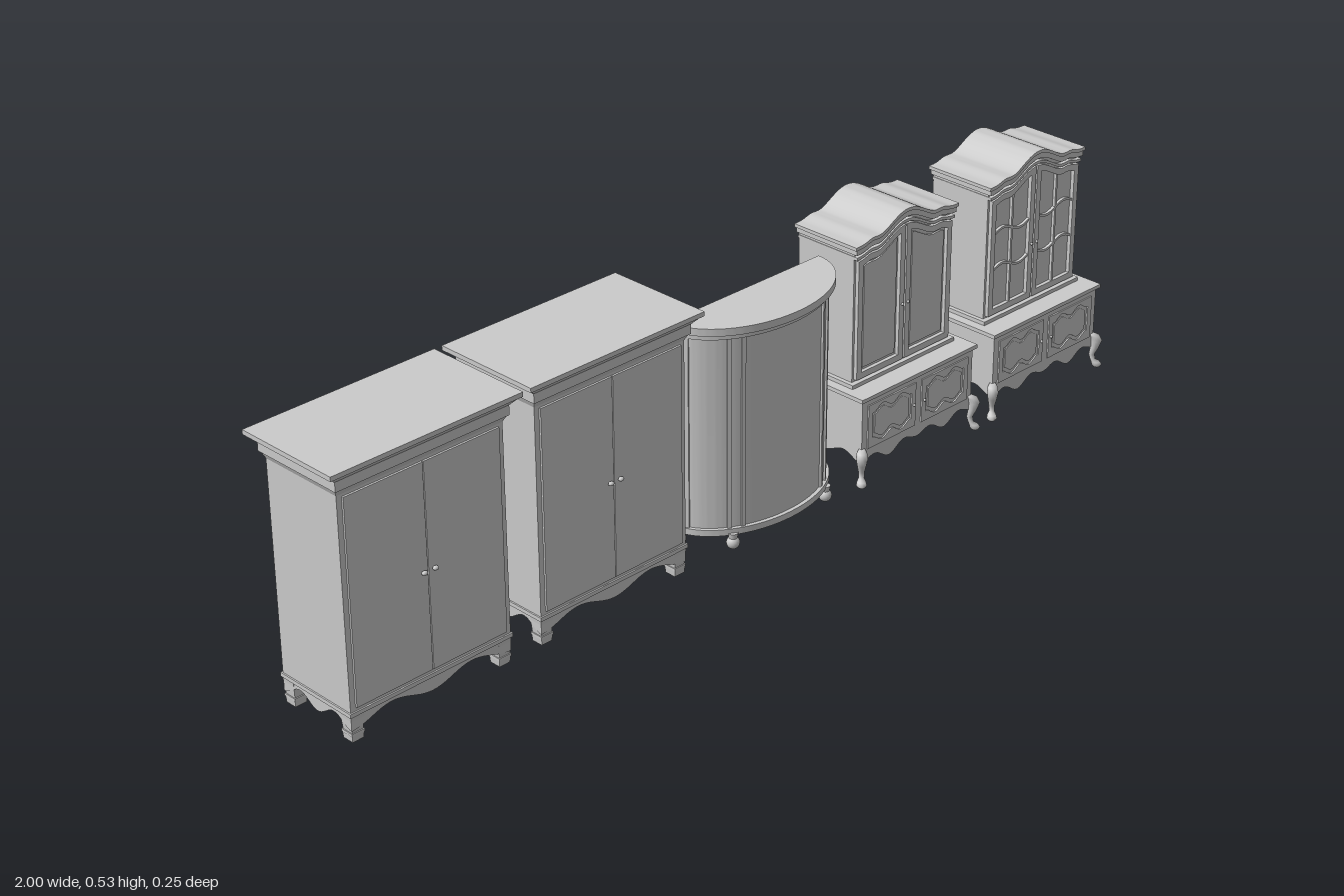
import * as THREE from 'three';
import { toCreasedNormals } from 'three/addons/utils/BufferGeometryUtils.js';

const mat = new THREE.MeshStandardMaterial({ color: 0xcccccc, side: THREE.DoubleSide });

function add(parent, name, geo, x = 0, y = 0, z = 0, ry = 0) {
  const m = new THREE.Mesh(geo, mat);
  m.name = name;
  m.position.set(x, y, z);
  m.rotation.y = ry;
  parent.add(m);
  return m;
}
// box from half sizes between two heights
const slab = (p, name, hx, y0, y1, z0, z1, x = 0) =>
  add(p, name, new THREE.BoxGeometry(hx * 2, y1 - y0, z1 - z0), x, (y0 + y1) / 2, (z0 + z1) / 2);

// box whose top is larger or smaller than its bottom
function flared(p, name, hx0, hz0, hx1, hz1, y0, y1, x, z) {
  const g = new THREE.BoxGeometry(2, y1 - y0, 2), a = g.attributes.position;
  for (let i = 0; i < a.count; i++) {
    const top = a.getY(i) > 0;
    a.setX(i, a.getX(i) * (top ? hx1 : hx0));
    a.setZ(i, a.getZ(i) * (top ? hz1 : hz0));
  }
  g.computeVertexNormals();
  return add(p, name, g, x, (y0 + y1) / 2, z);
}
// outline between a lower and an upper curve over x0..x1
function between(x0, x1, low, high, n = 40, Kind = THREE.Shape) {
  const pts = [];
  for (let i = 0; i <= n; i++) { const x = x0 + (x1 - x0) * i / n; pts.push(new THREE.Vector2(x, low(x))); }
  for (let i = n; i >= 0; i--) { const x = x0 + (x1 - x0) * i / n; pts.push(new THREE.Vector2(x, high(x))); }
  return new Kind(pts);
}
const extrude = (shape, depth) => toCreasedNormals(
  new THREE.ExtrudeGeometry(shape, { depth, bevelEnabled: false, curveSegments: 40 }), 0.5);

// scalloped boards on all four sides
function aprons(p, hx, z0, z1, yTop, frontCurve, sideCurve) {
  const t = 0.006, zc = (z0 + z1) / 2, hz = (z1 - z0) / 2;
  const front = extrude(between(-hx, hx, x => frontCurve(x / hx), () => yTop), t);
  const side = extrude(between(-hz, hz, x => sideCurve(x / hz), () => yTop), t);
  add(p, 'frontApron', front, 0, 0, z1 - t);
  add(p, 'backApron', front, 0, 0, z0);
  add(p, 'leftApron', side, hx, 0, zc, -Math.PI / 2);
  add(p, 'rightApron', side, -hx, 0, zc, Math.PI / 2);
}

function wardrobe(x, name) {
  const g = new THREE.Group();
  g.name = name;
  g.position.x = x;
  const cz = -0.0095, hx = 0.178, hz = 0.0905;
  slab(g, 'carcass', hx, 0.055, 0.495, cz - hz, cz + hz);
  // stepped cornice
  flared(g, 'neckMoulding', hx, hz, 0.184, 0.097, 0.475, 0.488, 0, cz);
  slab(g, 'frieze', 0.186, 0.488, 0.512, cz - 0.1, cz + 0.1);
  flared(g, 'corniceCove', 0.187, 0.1, 0.202, 0.111, 0.508, 0.521, 0, -0.0085);
  slab(g, 'corniceTop', 0.205, 0.521, 0.53, -0.122, 0.105);
  slab(g, 'baseMoulding', hx + 0.003, 0.052, 0.06, cz - hz - 0.003, cz + hz + 0.003);
  for (const s of [-1, 1]) {
    slab(g, 'door', 0.083, 0.068, 0.47, cz + hz, cz + hz + 0.004, s * 0.084);
    const knob = add(g, 'knob', new THREE.SphereGeometry(0.005, 12, 8), s * 0.012, 0.265, cz + hz + 0.009);
    knob.scale.set(1.2, 0.8, 1);
    for (const e of [-1, 1]) {
      const fx = s * (hx - 0.014), fz = cz + e * (hz - 0.014);
      flared(g, 'foot', 0.012, 0.012, 0.015, 0.015, 0.018, 0.055, fx, fz);
      flared(g, 'footCollar', 0.014, 0.014, 0.014, 0.014, 0.013, 0.018, fx, fz);
      flared(g, 'footPad', 0.012, 0.012, 0.013, 0.013, 0, 0.013, fx, fz);
    }
  }
  const curve = u => 0.034 - 0.01 * Math.cos(2 * Math.PI * u);
  aprons(g, hx, cz - hz, cz + hz, 0.055, curve, curve);
  return g;
}

// half-ellipse plate standing between two heights
function bowPlate(p, name, a, b, y0, y1, z) {
  const s = new THREE.Shape();
  s.absellipse(0, 0, a, b, Math.PI, Math.PI * 2, false);
  s.closePath();
  const geo = extrude(s, y1 - y0);
  geo.rotateX(-Math.PI / 2);
  add(p, name, geo, 0, y0, z);
}

function bowCabinet(x) {
  const g = new THREE.Group();
  g.name = 'bowFrontCabinet';
  g.position.x = x;
  const z = -0.011;
  bowPlate(g, 'basePlate', 0.193, 0.126, 0.03, 0.043, z);
  bowPlate(g, 'body', 0.186, 0.118, 0.043, 0.435, z);
  bowPlate(g, 'topMoulding', 0.191, 0.126, 0.435, 0.446, z);
  bowPlate(g, 'top', 0.1975, 0.135, 0.446, 0.461, z);
  for (const s of [-1, 1]) {
    // slim pilasters following the curve
    for (const px of [0.104, 0.128, 0.18]) {
      const t = Math.acos(px / 0.186);
      const pz = z + 0.118 * Math.sin(t);
      const turn = Math.atan2(px / 0.186 ** 2, (pz - z) / 0.118 ** 2);
      add(g, 'pilaster', new THREE.BoxGeometry(0.008, 0.392, 0.008), s * px, 0.239, pz, s * turn);
    }
    for (const [fx, fz] of [[0.125, 0.082], [0.184, 0.001]]) {
      add(g, 'ballFoot', new THREE.SphereGeometry(0.013, 16, 12), s * fx, 0.013, fz);
      add(g, 'footNeck', new THREE.CylinderGeometry(0.01, 0.008, 0.012, 16), s * fx, 0.028, fz);
    }
  }
  return g;
}

// crown outline: central hump with small shoulders
const crown = x => {
  const u = Math.abs(x) / 0.145;
  return 0.484 + 0.018 * (1 + Math.cos(Math.PI * Math.min(1, u / 0.7)))
    + 0.007 * Math.exp(-(((u - 0.68) / 0.13) ** 2));
};

// curved leg: rings along a path leaning out along the corner diagonal
function cabriole(p, x, z, sx, sz) {
  const pathPts = [[0.076, -0.004, 0.006], [0.071, 0.001, 0.010], [0.06, 0.004, 0.0115], [0.045, 0.002, 0.009],
    [0.028, -0.002, 0.006], [0.016, 0, 0.0055], [0.011, 0.004, 0.009], [0.005, 0.006, 0.0105], [0, 0.006, 0.007]];
  const n = 14, pos = [], idx = [];
  for (const [y, d, r] of pathPts) {
    for (let i = 0; i < n; i++) {
      const t = i / n * Math.PI * 2;
      pos.push(sx * d + r * Math.cos(t), y, sz * d + r * Math.sin(t));
    }
  }
  for (let k = 0; k < pathPts.length - 1; k++) {
    for (let i = 0; i < n; i++) {
      const a = k * n + i, b = k * n + (i + 1) % n;
      idx.push(a, b, a + n, b, b + n, a + n);
    }
  }
  for (let i = 1; i < n - 1; i++) {
    const e = (pathPts.length - 1) * n;
    idx.push(0, i + 1, i, e, e + i, e + i + 1);
  }
  const geo = new THREE.BufferGeometry();
  geo.setAttribute('position', new THREE.Float32BufferAttribute(pos, 3));
  geo.setIndex(idx);
  geo.computeVertexNormals();
  add(p, 'cabrioleLeg', geo, x, 0, z);
}

function hutch(x, name, glazed) {
  const g = new THREE.Group();
  g.name = name;
  g.position.x = x;
  // lower chest
  slab(g, 'chest', 0.16, 0.065, 0.18, -0.103, 0.088);
  slab(g, 'ledge', 0.167, 0.179, 0.187, -0.108, 0.094);
  slab(g, 'ledgeStep', 0.147, 0.187, 0.195, -0.105, 0.05);
  aprons(g, 0.16, -0.103, 0.088, 0.065,
    u => 0.047 - 0.007 * Math.cos(4 * Math.PI * u) + 0.005 * Math.cos(2 * Math.PI * u),
    u => 0.052 - 0.008 * Math.cos(2 * Math.PI * u));
  // arched upper case and crown mouldings
  add(g, 'upperCase', extrude(between(-0.138, 0.138, () => 0.187, v => crown(v) - 0.006), 0.142), 0, 0, -0.103);
  const bands = [[0.139, 0.03, 0.024, 0.152], [0.142, 0.018, 0.007, 0.155], [0.146, 0.007, 0, 0.159]];
  for (const [hw, low, high, d] of bands) {
    add(g, 'crownMoulding', extrude(between(-hw, hw, v => crown(v) - low, v => crown(v) - high), d), 0, 0, 0.051 - d + (0.159 - d) * -0.5);
  }
  for (const s of [-1, 1]) {
    const x0 = s < 0 ? -0.133 : 0.002, x1 = x0 + 0.131, m = 0.013, mid = (x0 + x1) / 2;
    const top = v => crown(v) - 0.034;
    // door frame
    const frame = between(x0, x1, () => 0.2, top);
    frame.holes.push(between(x0 + m, x1 - m, () => 0.2 + m, v => top(v) - m, 40, THREE.Path));
    add(g, 'doorFrame', extrude(frame, 0.009), 0, 0, 0.038);
    if (glazed) {
      // wavy glazing bars
      slab(g, 'uprightBar', 0.0025, 0.21, top(mid) - 0.008, 0.038, 0.045, mid);
      for (const y of [0.297, 0.375]) {
        const wave = v => y + s * 0.008 * Math.sin((v - mid) / 0.0525 * Math.PI);
        add(g, 'crossBar', extrude(between(x0 + m, x1 - m, v => wave(v) - 0.0025, v => wave(v) + 0.0025), 0.007), 0, 0, 0.038);
      }
    } else {
      const inset = m + 0.007;
      add(g, 'doorPanel', extrude(between(x0 + inset, x1 - inset, () => 0.2 + inset, v => top(v) - inset), 0.005), 0, 0, 0.038);
    }
    add(g, 'doorKnob', new THREE.SphereGeometry(0.003, 10, 8), s * 0.008, 0.32, 0.049);
    // lower door with a shaped raised panel
    const c = s * 0.077;
    const rim = between(c - 0.068, c + 0.068, () => 0.073, () => 0.166, 1);
    const wavy = (inset, sign) => v =>
      0.12 + sign * (0.03 - inset - 0.006 * Math.cos((v - c) / 0.054 * Math.PI * 2));
    rim.holes.push(between(c - 0.056, c + 0.056, wavy(-0.003, -1), wavy(-0.003, 1), 40, THREE.Path));
    add(g, 'lowerDoorFrame', extrude(rim, 0.004), 0, 0, 0.087);
    add(g, 'lowerDoorPanel', extrude(between(c - 0.049, c + 0.049, wavy(0.005, -1), wavy(0.005, 1)), 0.003), 0, 0, 0.087);
    add(g, 'lowerKnob', new THREE.SphereGeometry(0.003, 10, 8), s * 0.015, 0.12, 0.093);
    for (const [z, e] of [[0.09, 1], [-0.106, -1]]) cabriole(g, s * 0.161, z, s, e);
  }
  return g;
}

export function createModel() {
  const model = new THREE.Group();
  model.name = 'cabinetSet';
  model.add(
    wardrobe(-0.795, 'firstWardrobe'),
    wardrobe(-0.368, 'secondWardrobe'),
    bowCabinet(0.0575),
    hutch(0.437, 'panelledHutch', false),
    hutch(0.823, 'glazedHutch', true)
  );
  return model;
}
